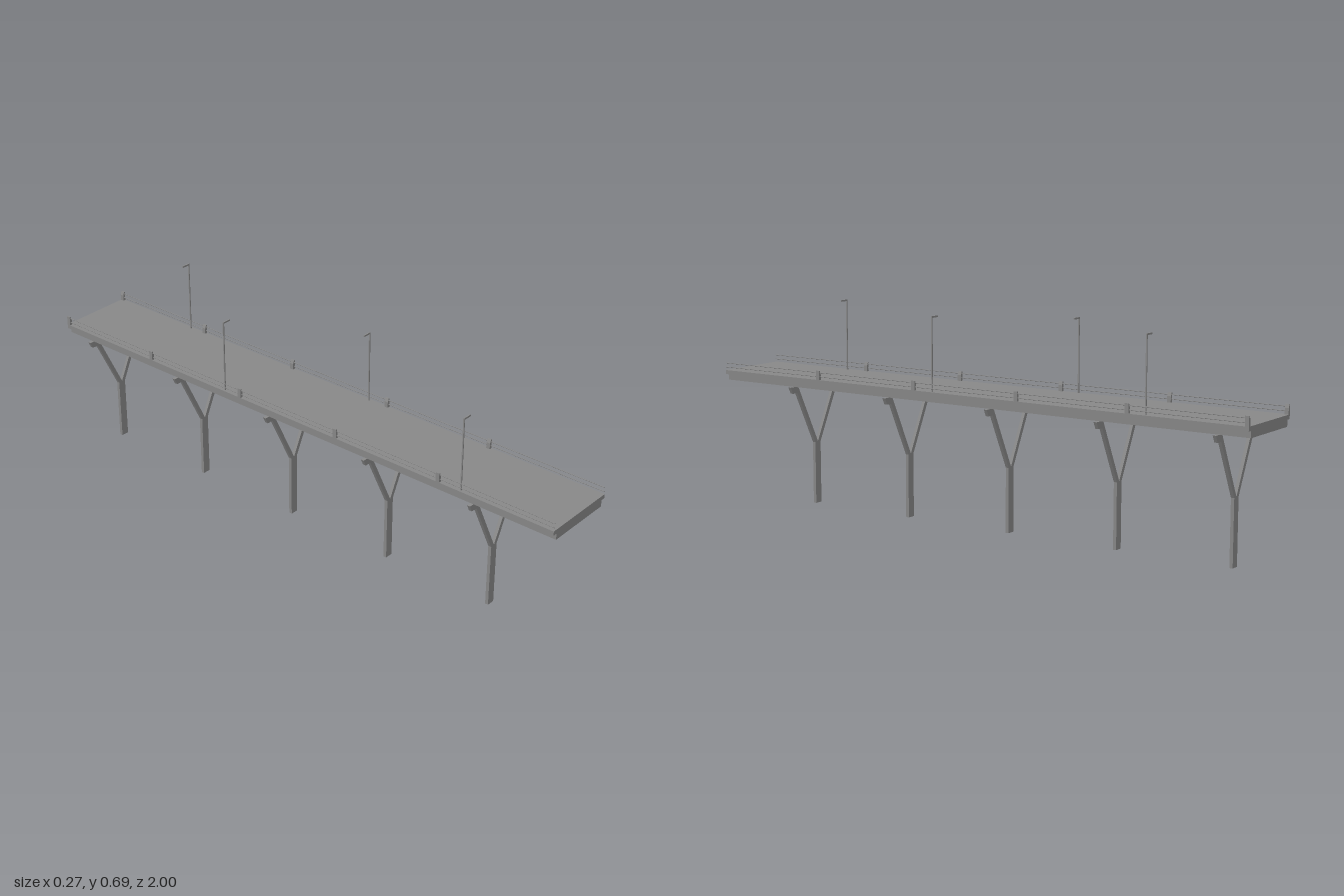
import * as THREE from 'three';

const DECK_X = -0.003; // the deck sits slightly off the pier axis

export function createModel() {
  const model = new THREE.Group();
  model.name = 'bridge';
  const flat = new THREE.MeshStandardMaterial({ color: 0x888888, flatShading: true });
  const smooth = new THREE.MeshStandardMaterial({ color: 0x888888 });

  const add = (parent, name, geometry, x, y, z, material = flat) => {
    const mesh = new THREE.Mesh(geometry, material);
    mesh.name = name;
    mesh.position.set(x, y, z);
    parent.add(mesh);
  };
  const box = (parent, name, w, h, d, x, y, z) =>
    add(parent, name, new THREE.BoxGeometry(w, h, d), x, y, z);
  // Outline in x/y, extruded and centred along z
  const profile = (points, depth) => {
    const shape = new THREE.Shape(points.map(([x, y]) => new THREE.Vector2(x, y)));
    return new THREE.ExtrudeGeometry(shape, { depth, bevelEnabled: false }).translate(0, 0, -depth / 2);
  };
  const mirror = (pts) => pts.map(([x, y]) => [-x, y]).reverse();

  // Deck: wide road slab over a narrower girder, as one stepped section
  const halfDeck = [[0.1165, 0.4155], [0.1165, 0.4365], [0.1315, 0.4365], [0.1315, 0.4505]];
  add(model, 'deck', profile([...halfDeck, ...mirror(halfDeck)], 2), DECK_X, 0, 0);

  // Y-shaped piers with flared bearing caps
  const halfPier = [
    [0.0137, 0], [0.0137, 0.2125], [0.1025, 0.3935], [0.125, 0.3935], [0.1355, 0.4155], [0.098, 0.4155],
  ];
  const pierGeo = profile([...halfPier, [0, 0.214], ...mirror(halfPier)], 0.011);
  for (let i = 0; i < 5; i++) add(model, 'pier', pierGeo, 0, 0, 0.705 - i * 0.4);

  // Railings: tapered posts and two long round rails on each side
  const railGeo = new THREE.CylinderGeometry(0.0014, 0.0014, 2, 12).rotateX(Math.PI / 2);
  for (const side of [-1, 1]) {
    const railing = new THREE.Group();
    railing.name = side > 0 ? 'leftRailing' : 'rightRailing';
    railing.position.x = DECK_X;
    model.add(railing);
    const outline = [[0.1225, 0.45], [0.1315, 0.45], [0.1315, 0.4815], [0.1275, 0.4815], [0.123, 0.47]];
    const postGeo = profile(side > 0 ? outline : mirror(outline), 0.013);
    for (let i = 0; i < 5; i++) add(railing, 'railPost', postGeo, 0, 0, 0.588 - i * 0.3955);
    for (const y of [0.461, 0.475]) add(railing, 'rail', railGeo, side * 0.1275, y, 0, smooth);
  }

  // Street lamps, staggered on both sides, arms reaching over the road
  const lamps = [[-1, 0.668], [1, 0.122], [-1, -0.272], [1, -0.659]];
  for (const [side, z] of lamps) {
    const lamp = new THREE.Group();
    lamp.name = 'streetLamp';
    lamp.position.set(DECK_X, 0, z);
    model.add(lamp);
    box(lamp, 'lampPole', 0.0035, 0.237, 0.004, side * 0.1225, 0.5685, 0);
    box(lamp, 'lampArm', 0.031, 0.0055, 0.004, side * 0.109, 0.6895, 0);
  }
  return model;
}
